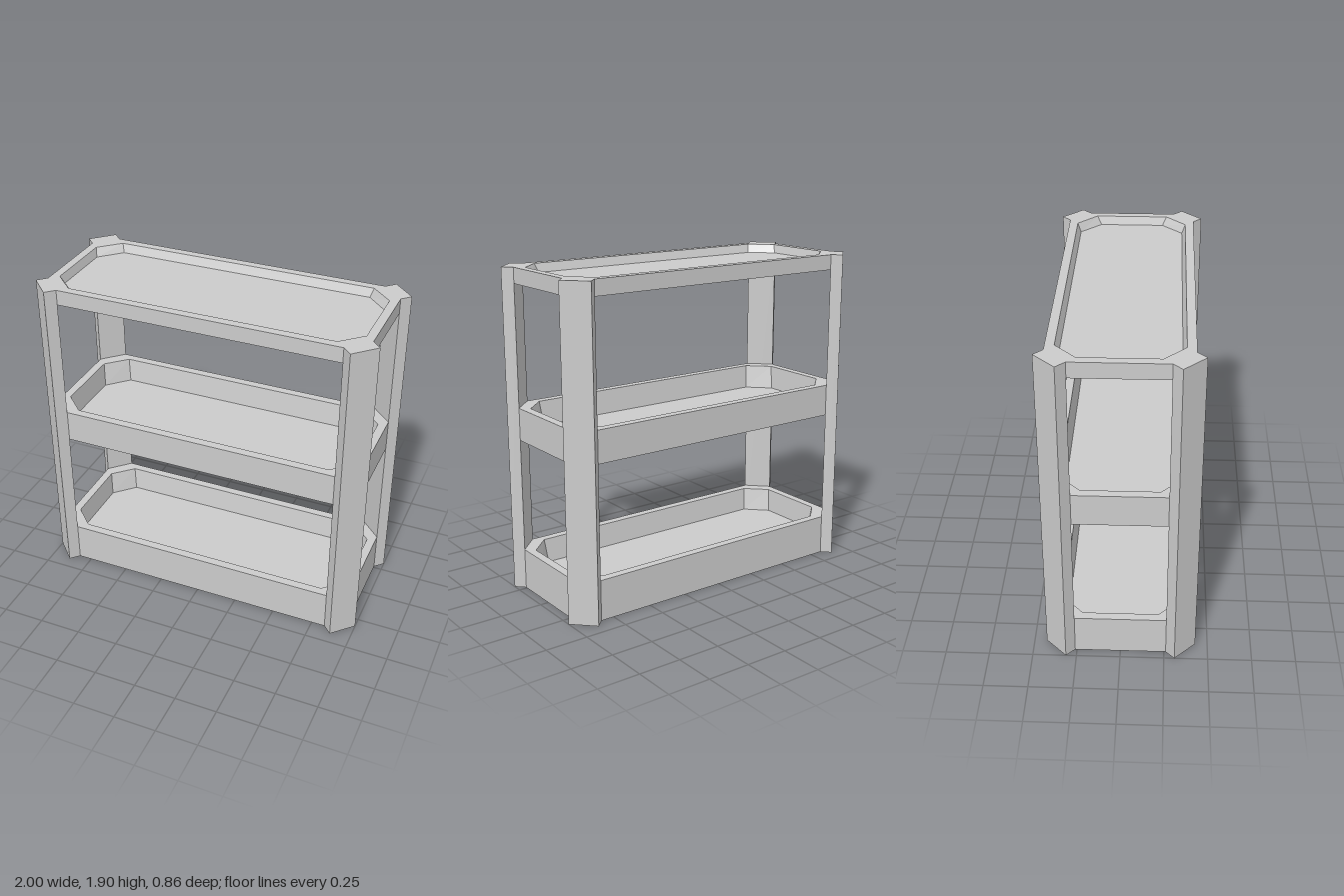
import * as THREE from 'three';

const material = new THREE.MeshStandardMaterial({ color: 0xcccccc, flatShading: true });

// Rectangle with cut corners: half sizes hx, hz; the straight sides end at bx and az
function octagon([hx, hz, bx, az], y) {
  return [
    [hx, -az], [bx, -hz], [-bx, -hz], [-hx, -az],
    [-hx, az], [-bx, hz], [bx, hz], [hx, az],
  ].map(([x, z]) => [x, y, z]);
}

const CENTRE = [0, 0, 0, 0];
const OUTER = [0.95, 0.38, 0.83, 0.26];
const RIM = [0.90, 0.33, 0.78, 0.215];
const FLOOR = [0.885, 0.31, 0.765, 0.19];

// Solid tray skinned through rings: underside, outer wall, rim, sloped inner wall, floor
function trayGeometry(bottom, top, floor) {
  const rings = [
    octagon(CENTRE, bottom), octagon(OUTER, bottom), octagon(OUTER, top),
    octagon(RIM, top), octagon(FLOOR, floor), octagon(CENTRE, floor),
  ];
  const positions = [];
  const last = rings.length - 2;
  for (let r = 0; r <= last; r++) {
    const lower = rings[r], upper = rings[r + 1];
    for (let i = 0; i < 8; i++) {
      const j = (i + 1) % 8;
      if (r > 0) positions.push(...lower[i], ...lower[j], ...upper[j]);
      if (r < last) positions.push(...lower[i], ...upper[j], ...upper[i]);
    }
  }
  const geometry = new THREE.BufferGeometry();
  geometry.setAttribute('position', new THREE.Float32BufferAttribute(positions, 3));
  geometry.computeVertexNormals();
  return geometry;
}

export function createModel() {
  const group = new THREE.Group();
  group.name = 'shelfRack';

  // Three trays
  const trays = [
    ['bottomTray', 0, 0.24, 0.10],
    ['middleTray', 0.91, 1.10, 0.96],
    ['topTray', 1.81, 1.90, 1.85],
  ];
  for (const [name, bottom, top, floor] of trays) {
    const tray = new THREE.Mesh(trayGeometry(bottom, top, floor), material);
    tray.name = name;
    group.add(tray);
  }

  // Four flat posts set diagonally across the cut corners
  const postGeometry = new THREE.BoxGeometry(0.12 * Math.SQRT2, 1.9, 0.05 * Math.SQRT2);
  for (const sx of [-1, 1]) {
    for (const sz of [-1, 1]) {
      const post = new THREE.Mesh(postGeometry, material);
      post.name = (sz > 0 ? 'front' : 'back') + (sx > 0 ? 'Left' : 'Right') + 'Post';
      post.position.set(sx * 0.915, 0.95, sz * 0.345);
      post.rotation.y = sx * sz * Math.PI / 4;
      group.add(post);
    }
  }
  return group;
}
